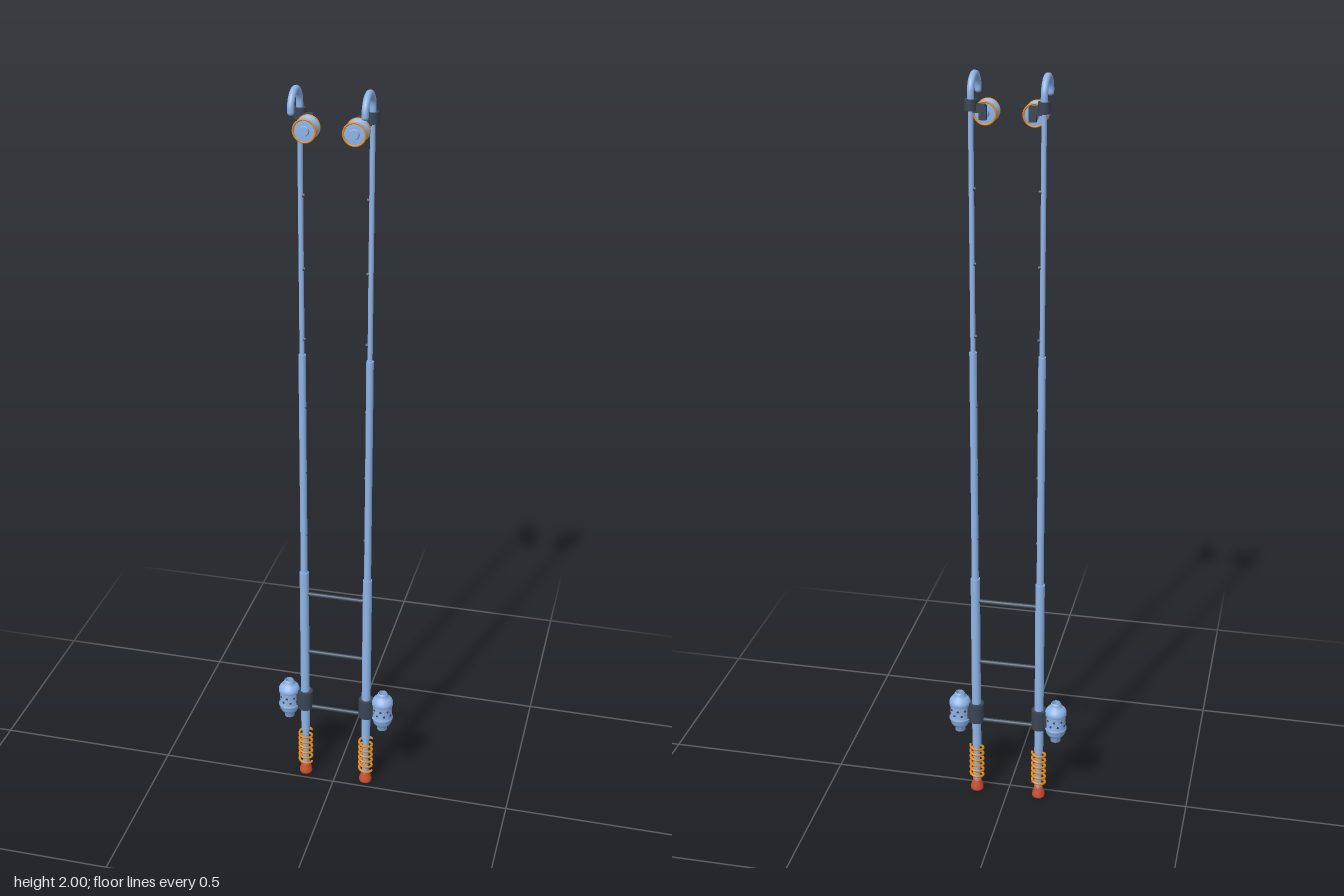
import * as THREE from 'three';

const mat = (color) => new THREE.MeshStandardMaterial({ color });
const V = (x, y, z) => new THREE.Vector3(x, y, z);

export function createModel() {
  const blue = mat(0x8fb4e8), dark = mat(0x3a4654), orange = mat(0xe08a1e), red = mat(0xc9502f);
  const model = new THREE.Group();
  model.name = 'ladder';
  const Z = -0.03, X = 0.088;

  const add = (parent, name, geometry, material, x = 0, y = 0, z = 0) => {
    const mesh = new THREE.Mesh(geometry, material);
    mesh.name = name;
    mesh.position.set(x, y, z);
    parent.add(mesh);
    return mesh;
  };
  // Upright cylinder spanning y0..y1
  const post = (parent, name, r0, r1, y0, y1, material, x = 0, z = 0) =>
    add(parent, name, new THREE.CylinderGeometry(r1, r0, y1 - y0, 24), material, x, (y0 + y1) / 2, z);
  const lathe = (points) => new THREE.LatheGeometry(points.map(([r, y]) => new THREE.Vector2(r, y)), 32);

  // Coil spring around the foot shaft
  class Coil extends THREE.Curve {
    getPoint(t, target = new THREE.Vector3()) {
      const a = t * Math.PI * 2 * 6;
      return target.set(0.018 * Math.cos(a), 0.037 + 0.107 * t, 0.018 * Math.sin(a));
    }
  }

  // Each side is built around its pole axis; s = +1 is the left, -1 the right
  for (const s of [1, -1]) {
    const side = new THREE.Group();
    side.name = s > 0 ? 'leftSide' : 'rightSide';
    side.position.set(s * X, 0, Z);
    model.add(side);

    // Telescoping pole
    post(side, 'footShaft', 0.009, 0.009, 0.02, 0.16, blue);
    post(side, 'lowerPole', 0.0125, 0.0125, 0.147, 0.67, blue);
    post(side, 'middlePole', 0.0095, 0.0095, 0.66, 1.31, blue);
    post(side, 'upperPole', 0.0065, 0.0065, 1.3, 1.94, blue);

    // Sprung foot
    add(side, 'footSpring', new THREE.TubeGeometry(new Coil(), 220, 0.0035, 8), orange);
    add(side, 'foot', lathe([[0, 0], [0.017, 0], [0.018, 0.004], [0.017, 0.014], [0.012, 0.027], [0.012, 0.034], [0, 0.034]]), red);

    // Rung sockets on the inner face of the upper sections
    for (let i = 3; i < 9; i++) {
      const socket = add(side, 'rungSocket', new THREE.CylinderGeometry(0.005, 0.005, 0.011, 12), dark, -s * 0.0055, 0.23 + 0.187 * i);
      socket.rotation.z = Math.PI / 2;
    }

    // Hook over the top
    const path = new THREE.CurvePath();
    path.add(new THREE.LineCurve3(V(0, 1.925, 0), V(0, 1.9515, 0)));
    const arc = [];
    for (let i = 0; i <= 12; i++) {
      const a = Math.PI * 1.03 * i / 12;
      arc.push(V(0, 1.9515 + 0.04 * Math.sin(a), 0.04 - 0.04 * Math.cos(a)));
    }
    path.add(new THREE.CatmullRomCurve3(arc));
    add(side, 'hook', new THREE.TubeGeometry(path, 48, 0.0085, 14), blue);
    const end = arc[12];
    add(side, 'hookTip', new THREE.SphereGeometry(0.0085, 14, 10), blue, end.x, end.y, end.z);

    // Collar and bracket carrying the pulley
    post(side, 'hookCollar', 0.015, 0.015, 1.913, 1.94, dark);
    add(side, 'pulleyBracket', new THREE.BoxGeometry(0.034, 0.02, 0.016), dark, -s * 0.018, 1.918, 0.004);
    add(side, 'pulleyHanger', new THREE.BoxGeometry(0.018, 0.034, 0.014), dark, -s * 0.028, 1.908, 0.006);

    // Grooved pulley, axis front to back
    const pulley = new THREE.Group();
    pulley.name = 'pulley';
    pulley.position.set(-s * 0.028, 1.902, 0.047);
    pulley.rotation.x = Math.PI / 2;
    side.add(pulley);
    const groove = [[0, -0.02], [0.027, -0.02]];
    for (let i = 0; i <= 10; i++) {
      const t = i / 5 - 1;
      groove.push([0.019 + 0.009 * t * t, 0.018 * t]);
    }
    groove.push([0.027, 0.02], [0, 0.02]);
    add(pulley, 'pulleyWheel', lathe(groove), blue);
    for (const y of [-0.02, 0.02]) {
      const rim = add(pulley, 'pulleyRim', new THREE.TorusGeometry(0.027, 0.0025, 10, 36), orange, 0, y);
      rim.rotation.x = Math.PI / 2;
    }
    post(pulley, 'axle', 0.007, 0.007, -0.04, 0.022, blue);
    post(pulley, 'frontHub', 0.013, 0.011, 0.019, 0.026, blue);
    post(pulley, 'backHub', 0.009, 0.012, -0.029, -0.019, blue);

    // Clamp on the pole
    post(side, 'clampCollar', 0.021, 0.021, 0.225, 0.282, dark);
    add(side, 'clampArm', new THREE.BoxGeometry(0.022, 0.042, 0.022), dark, s * 0.02, 0.253);

    // Hollow canister held by the clamp
    const canister = new THREE.Group();
    canister.name = 'canister';
    canister.position.x = s * 0.047;
    side.add(canister);
    add(canister, 'canisterShell', lathe([
      [0.0095, 0.19], [0.014, 0.19], [0.014, 0.203], [0.022, 0.209], [0.0265, 0.218], [0.0265, 0.226],
      [0.0295, 0.228], [0.0295, 0.233], [0.0265, 0.235], [0.0265, 0.272], [0.0295, 0.274], [0.0295, 0.282],
      [0.027, 0.289], [0.021, 0.296], [0.0145, 0.298], [0.0145, 0.306], [0.012, 0.311], [0.0095, 0.311], [0.0095, 0.19],
    ]), blue);
    for (let i = 0; i < 16; i++) {
      const a = i * Math.PI / 8;
      const vent = add(canister, 'vent', new THREE.CylinderGeometry(0.0032, 0.0032, 0.003, 10), dark,
        0.026 * Math.sin(a), i % 2 ? 0.246 : 0.261, 0.026 * Math.cos(a));
      vent.rotation.set(Math.PI / 2, 0, -a);
    }
  }

  // Rungs across the lower poles
  for (const y of [0.23, 0.415, 0.602]) {
    const rung = add(model, 'rung', new THREE.CylinderGeometry(0.006, 0.006, X * 2 - 0.01, 16), dark, 0, y, Z);
    rung.rotation.z = Math.PI / 2;
  }
  return model;
}
